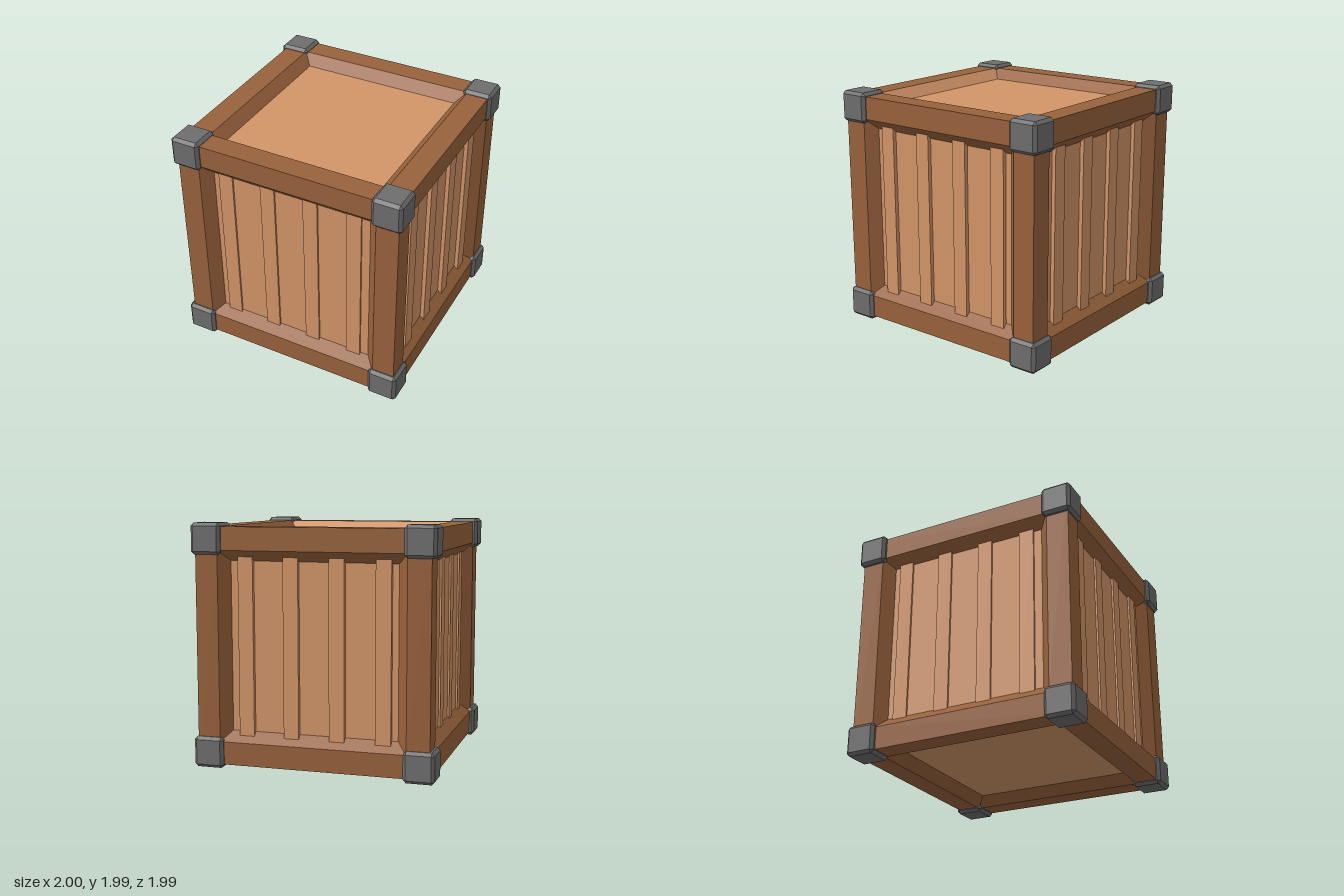
import * as THREE from 'three';
import { ConvexGeometry } from 'three/addons/geometries/ConvexGeometry.js';

const HALF = 0.964;    // outer half size of the timber frame
const OPEN = 0.776;    // half size of each opening at the surface
const PANEL = 0.692;   // half size of the visible panel
const DEPTH = 0.085;   // how far the panels are set back
const MID = 0.9935;    // height of the crate's centre

// Square rings from a [half size, height] profile, with flat faces
function squareRing(profile, firstSide = 0, sides = 4) {
  const points = profile.map(([half, y]) => new THREE.Vector2(half * Math.SQRT2, y));
  const geometry = new THREE.LatheGeometry(points, sides, (firstSide - 0.5) * Math.PI / 2, sides * Math.PI / 2).toNonIndexed();
  geometry.computeVertexNormals();
  return geometry;
}

// Cube with every edge and corner cut off
function chamferedCube(size, cut) {
  const h = size / 2, points = [];
  for (const x of [-1, 1]) for (const y of [-1, 1]) for (const z of [-1, 1]) {
    for (let axis = 0; axis < 3; axis++) {
      const p = [x, y, z].map((s, i) => s * (i === axis ? h : h - cut));
      points.push(new THREE.Vector3(...p));
    }
  }
  return new ConvexGeometry(points);
}

export function createModel() {
  const frameWood = new THREE.MeshStandardMaterial({ color: 0x98623c });
  frameWood.name = 'frame wood';
  const panelWood = new THREE.MeshStandardMaterial({ color: 0xd29568 });
  panelWood.name = 'panel wood';
  const metal = new THREE.MeshStandardMaterial({ color: 0x6e6e6e });
  metal.name = 'corner metal';

  const model = new THREE.Group();
  model.name = 'crate';
  function add(name, geometry, material, parent) {
    const mesh = new THREE.Mesh(geometry, material);
    mesh.name = name;
    parent.add(mesh);
    return mesh;
  }

  const body = new THREE.Group();
  body.name = 'body';
  body.position.set(0.005, MID, 0);
  model.add(body);

  // Inset panels on all six sides
  const core = 2 * (HALF - DEPTH);
  add('panels', new THREE.BoxGeometry(core, core, core), panelWood, body);

  // Beams round each side, with an inner edge sloping to the panel
  const flat = squareRing([[HALF, HALF], [OPEN, HALF]]);
  const slope = [[OPEN, HALF], [PANEL, HALF - DEPTH]];
  const q = Math.PI / 2;
  const faces = [
    ['top', 0, 0], ['bottom', 2 * q, 0], ['front', q, 0],
    ['back', -q, 0], ['right', 0, -q], ['left', 0, q],
  ];
  for (const [side, rx, rz] of faces) {
    const frame = new THREE.Group();
    frame.name = side + 'Frame';
    frame.rotation.set(rx, 0, rz);
    body.add(frame);
    add('beams', flat, frameWood, frame);
    if (side === 'top') {
      // One inner edge of the top is in the paler wood
      add('innerEdges', squareRing(slope, 1, 3), frameWood, frame);
      add('paleInnerEdge', squareRing(slope, 0, 1), panelWood, frame);
    } else {
      add('innerEdges', squareRing(slope), frameWood, frame);
    }
  }

  // Upright battens: [side, turn, thickness, sideways shift]
  const battens = [
    ['front', 0, 0.016, -0.009], ['right', q, 0.034, 0.007],
    ['back', 2 * q, 0.034, 0.009], ['left', -q, 0.016, -0.007],
  ];
  for (const [side, turn, thick, shift] of battens) {
    const row = new THREE.Group();
    row.name = side + 'Battens';
    row.rotation.y = turn;
    body.add(row);
    const geometry = new THREE.BoxGeometry(0.126, 2 * (PANEL + thick), thick);
    for (let i = 0; i < 4; i++) {
      add('batten', geometry, panelWood, row)
        .position.set((i - 1.5) * 0.379 + shift, 0, HALF - DEPTH + thick / 2);
    }
  }

  // Metal caps on the eight corners
  const cap = chamferedCube(0.253, 0.025);
  for (const x of [-1, 1]) for (const y of [-1, 1]) for (const z of [-1, 1]) {
    add('cornerCap', cap, metal, model)
      .position.set(x * 0.8735, MID + y * 0.867, z * 0.87);
  }
  return model;
}
